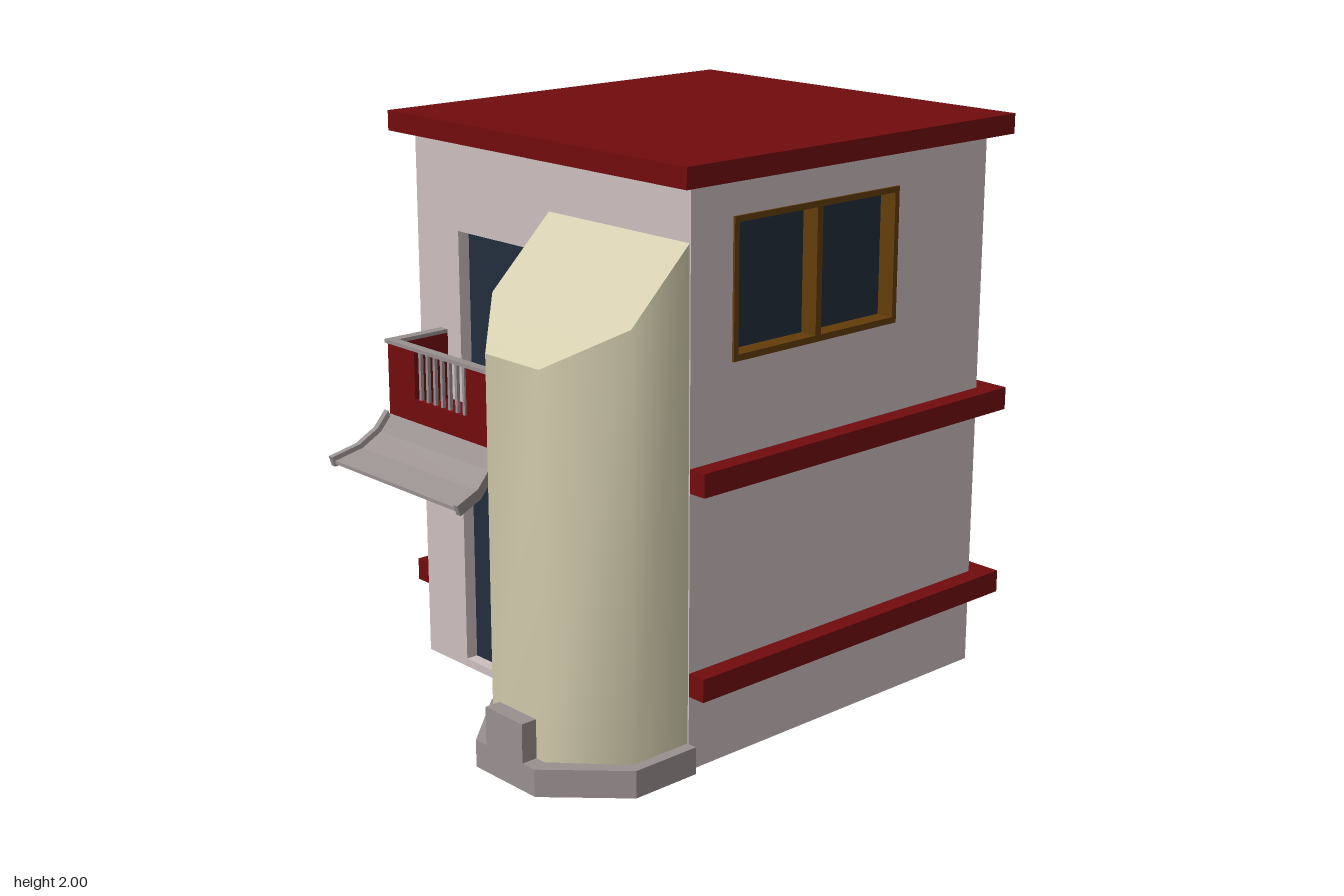
import * as THREE from 'three';

const mat = (name, color) => {
  const m = new THREE.MeshStandardMaterial({ color, side: THREE.DoubleSide });
  m.name = name;
  return m;
};

export function createModel() {
  const house = new THREE.Group();
  house.name = 'house';
  const pink = mat('pink plaster', 0xcdbfbf);
  const red = mat('dark red', 0x720c0e);
  const cream = mat('cream plaster', 0xd3ccad);
  const grey = mat('stone grey', 0x9a9090);
  const glass = mat('dark glass', 0x222e3c);
  const wood = mat('brown wood', 0x633d0a);

  const add = (name, geometry, material) => {
    const mesh = new THREE.Mesh(geometry, material);
    mesh.name = name;
    house.add(mesh);
    return mesh;
  };
  const box = (name, material, x0, x1, y0, y1, z0, z1) => {
    const mesh = add(name, new THREE.BoxGeometry(x1 - x0, y1 - y0, z1 - z0), material);
    mesh.position.set((x0 + x1) / 2, (y0 + y1) / 2, (z0 + z1) / 2);
    return mesh;
  };
  const poly = (pts) => new THREE.Shape(pts.map(([x, y]) => new THREE.Vector2(x, y)));
  const rect = (x0, x1, y0, y1) => [[x0, y0], [x1, y0], [x1, y1], [x0, y1]];
  const withHoles = (outline, holes) => {
    const s = poly(outline);
    s.holes = holes.map(poly);
    return s;
  };
  // Skin through rows of points; faces are split for hard edges unless smooth
  const skin = (rows, smooth = false) => {
    const n = rows[0].length, index = [];
    for (let r = 0; r < rows.length - 1; r++)
      for (let i = 0; i < n - 1; i++) {
        const a = r * n + i, b = a + n;
        index.push(a, a + 1, b + 1, a, b + 1, b);
      }
    let g = new THREE.BufferGeometry();
    g.setAttribute('position', new THREE.Float32BufferAttribute(rows.flat(2), 3));
    g.setIndex(index);
    if (!smooth) g = g.toNonIndexed();
    g.computeVertexNormals();
    return g;
  };

  // Main walls, open below
  const X0 = -0.7, X1 = 0.69, Z0 = -0.9, Z1 = 0.49, TOP = 1.94;
  const door = rect(-0.48, -0.02, 0.03, 0.76);
  const balconyDoor = rect(-0.47, -0.095, 0.99, 1.61);
  const sideWindow = rect(-0.31, 0.45, 1.345, 1.81);
  add('frontWall', new THREE.ShapeGeometry(withHoles(rect(X0, X1, 0, TOP), [door, balconyDoor])), pink)
    .position.z = Z1;
  const rightWall = add('windowWall',
    new THREE.ShapeGeometry(withHoles(rect(-Z1, -Z0, 0, TOP), [sideWindow])), pink);
  rightWall.rotation.y = Math.PI / 2;
  rightWall.position.x = X1;
  add('backAndSideWalls', skin([0, TOP].map((y) => [[X1, y, Z0], [X0, y, Z0], [X0, y, Z1]])), pink);

  // Recessed doors
  [['door', door], ['balconyDoor', balconyDoor]].forEach(([name, pts]) => {
    const loop = [...pts, pts[0]];
    add(name + 'Recess', skin([Z1, Z1 - 0.045].map((z) => loop.map(([x, y]) => [x, y, z]))), pink);
    add(name + 'Panel', new THREE.ShapeGeometry(poly(pts)), glass).position.z = Z1 - 0.045;
  });

  // Side window: deep wooden frame with two panes
  const frame = add('windowFrame', new THREE.ExtrudeGeometry(
    withHoles(sideWindow, [rect(-0.29, 0.06, 1.367, 1.79), rect(0.085, 0.43, 1.367, 1.79)]),
    { depth: 0.068, bevelEnabled: false }), wood);
  const panes = add('windowPanes', new THREE.ShapeGeometry(poly(rect(-0.3, 0.44, 1.355, 1.8))), glass);
  frame.rotation.y = panes.rotation.y = Math.PI / 2;
  frame.position.x = 0.63;
  panes.position.x = 0.634;

  // Roof slab and the two string courses around sides and back
  box('roof', red, -0.76, 0.745, 1.93, 2, -0.98, 0.56);
  for (const y of [0.26, 0.95]) {
    box('bandSideA', red, -0.76, X0, y, y + 0.08, -0.98, Z1);
    box('bandSideB', red, X1, 0.757, y, y + 0.08, -0.98, Z1);
    box('bandBack', red, X0, X1, y, y + 0.08, -0.98, Z0);
  }

  // Bay tower with a sloping cap: x, z, top height
  const bay = [[0.018, 0.49, 1.75], [0.018, 0.73, 1.52], [0.22, 0.922, 1.39],
    [0.48, 0.922, 1.39], [0.685, 0.73, 1.52], [0.685, 0.49, 1.75]];
  add('towerWall', skin([bay.map(([x, z]) => [x, 0, z]), bay.map(([x, z, y]) => [x, y, z])], true), cream);
  const pair = (i) => [bay[i], bay[5 - i]].map(([x, z, y]) => [x, y, z]);
  add('towerCap', skin([pair(2), pair(1), pair(0)], true), cream);

  // Stone plinth around the tower, its floor and the raised block
  const outer = [[-0.02, 0.49], [-0.02, 0.74], [0.2, 0.98], [0.5, 0.98], [0.725, 0.75], [0.725, 0.49]];
  const flip = ([x, z]) => [x, -z];
  add('plinth', new THREE.ExtrudeGeometry(poly([...outer, ...[...bay].reverse()].map(flip)),
    { depth: 0.095, bevelEnabled: false }), grey).rotation.x = -Math.PI / 2;
  const floor = add('towerFloor', new THREE.ShapeGeometry(poly(bay.map(flip))), grey);
  floor.rotation.x = -Math.PI / 2;
  floor.position.y = 0.09;
  box('plinthBlock', grey, 0.255, 0.44, 0, 0.23, 0.915, 0.98);

  // Balcony: floor, parapets, notch with bars, handrail
  box('balconyFloor', red, -0.575, 0.017, 0.975, 1, Z1, 0.725);
  box('balconySideA', red, -0.575, -0.545, 0.98, 1.238, Z1, 0.725);
  box('balconySideB', red, -0.015, 0.017, 0.98, 1.238, Z1, 0.725);
  add('balconyFront', new THREE.ExtrudeGeometry(poly([[-0.575, 0.98], [0.017, 0.98], [0.017, 1.238],
    [-0.14, 1.238], [-0.14, 1.065], [-0.425, 1.065], [-0.425, 1.238], [-0.575, 1.238]]),
    { depth: 0.025, bevelEnabled: false }), red).position.z = 0.7;
  for (let i = 0; i < 7; i++) {
    const x = -0.403 + i * 0.04;
    box('balconyBar', grey, x - 0.006, x + 0.006, 1.065, 1.238, 0.707, 0.719);
  }
  box('handrailFront', grey, -0.583, 0.02, 1.237, 1.25, 0.698, 0.732);
  box('handrailSideA', grey, -0.583, -0.545, 1.237, 1.25, Z1, 0.698);
  box('handrailSideB', grey, -0.018, 0.02, 1.237, 1.25, Z1, 0.698);

  // Flared awning: half width, height, depth
  const MID = -0.279;
  const flare = [[0.295, 0.985, 0.728], [0.31, 0.925, 0.765], [0.33, 0.875, 0.83], [0.35, 0.845, 0.93]];
  const sheet = (drop) => flare.map(([w, y, z]) => [[MID - w, y - drop, z], [MID + w, y - drop, z]]);
  const top = sheet(0), under = sheet(0.012);
  add('awning', skin([...top, ...under.reverse()]), grey);
  for (const side of [-1, 1]) {
    const rows = flare.map(([w, y, z]) => {
      const a = MID + side * (w - 0.01), b = MID + side * (w + 0.012);
      return [[a, y - 0.022, z], [b, y - 0.022, z], [b, y + 0.014, z + 0.012],
        [a, y + 0.014, z + 0.012], [a, y - 0.022, z]];
    });
    add('awningRib', skin(rows), grey);
    const e = rows[3];
    add('awningRibEnd', skin([[e[0], e[1]], [e[3], e[2]]]), grey);
  }
  return house;
}
